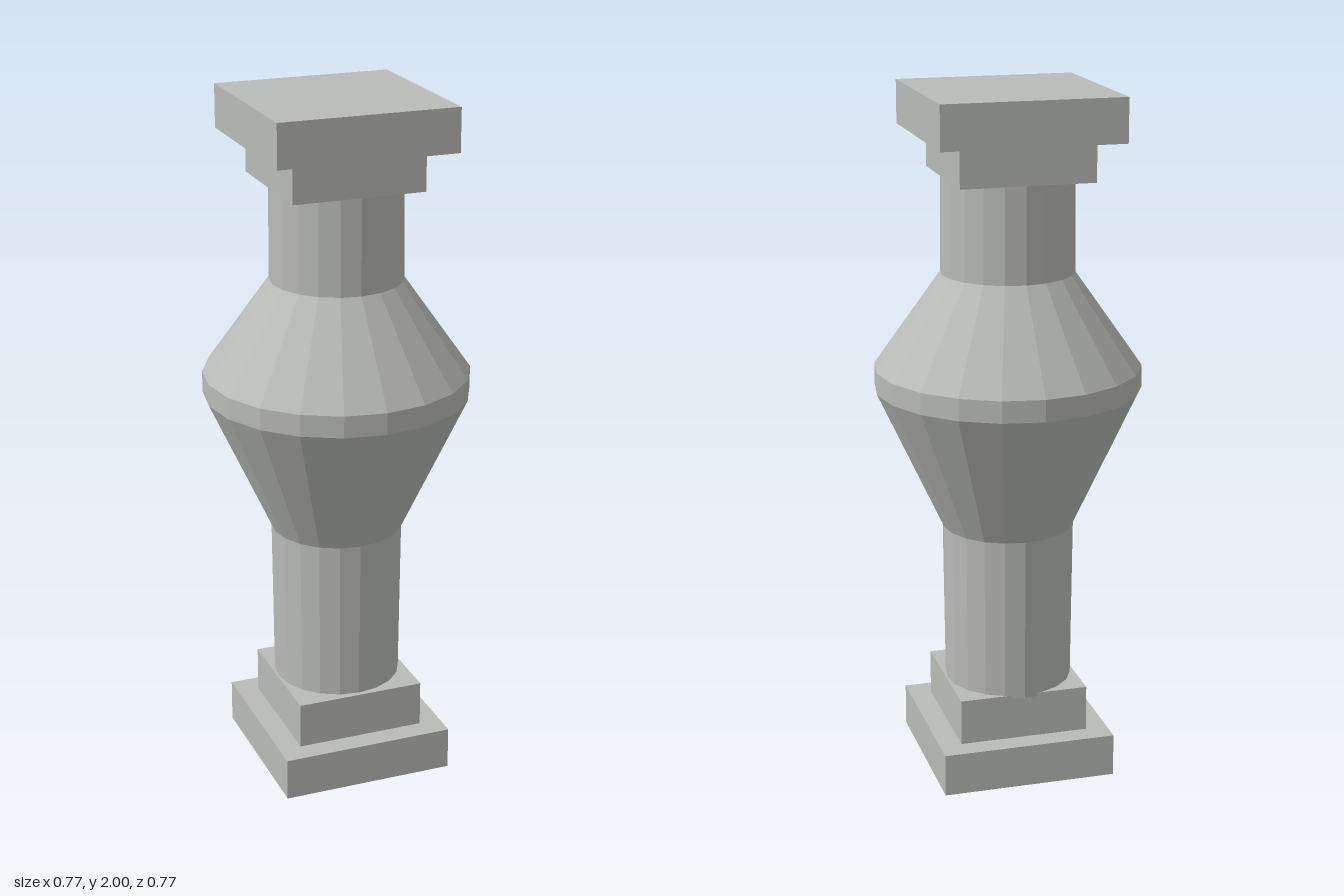
import * as THREE from 'three';

export function createModel() {
  const group = new THREE.Group();
  const stone = new THREE.MeshStandardMaterial({ color: 0xb9bbb7 });
  stone.flatShading = true;

  // Square slab spanning y0..y1, centred on (x, z)
  function slab(name, size, y0, y1, x, z) {
    const mesh = new THREE.Mesh(new THREE.BoxGeometry(size, y1 - y0, size), stone);
    mesh.name = name;
    mesh.position.set(x, (y0 + y1) / 2, z);
    group.add(mesh);
  }

  // Stepped base and cap, each slightly off the axis
  slab('basePlinth', 0.51, 0, 0.125, 0, 0.01);
  slab('baseStep', 0.38, 0.125, 0.26, 0, 0.01);
  slab('capStep', 0.385, 1.76, 1.875, -0.005, -0.003);
  slab('capSlab', 0.52, 1.875, 2, -0.002, -0.007);

  // Faceted turned shaft with a swollen middle, its ends closed
  const profile = [
    [0, 0.25], [0.186, 0.25], [0.191, 0.735], [0.383, 1.15],
    [0.383, 1.213], [0.191, 1.485], [0.188, 1.77], [0, 1.77],
  ].map(([r, y]) => new THREE.Vector2(r, y));
  const shaft = new THREE.Mesh(new THREE.LatheGeometry(profile, 20), stone);
  shaft.name = 'balusterShaft';
  group.add(shaft);

  return group;
}
